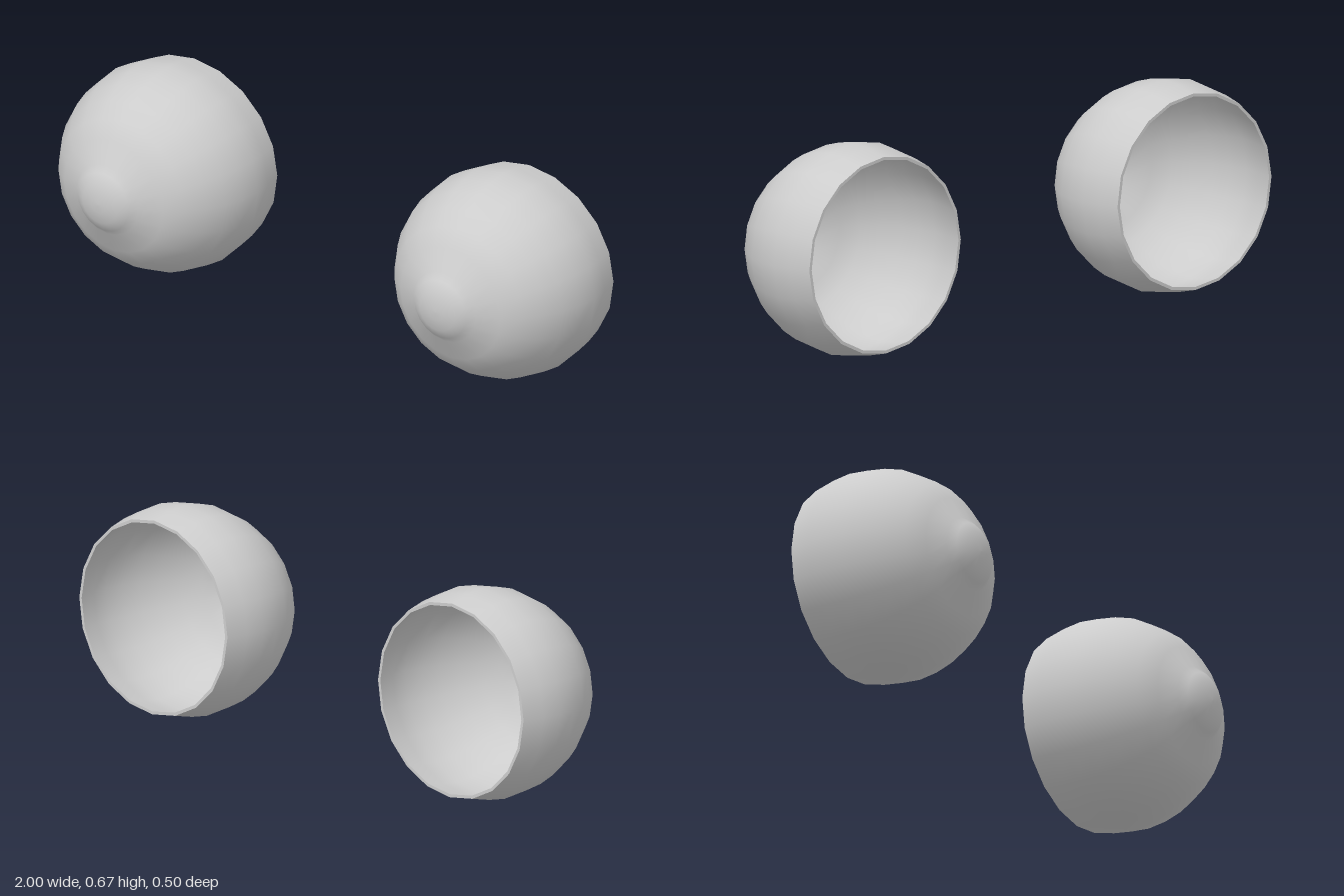
import * as THREE from 'three';

const SEGMENTS = 20;
const WALL = 0.01;

// Outer profile [radius, depth], from the open rim to the tip of the nub
const PROFILE = [
  [0.3125, -0.245], [0.329, -0.175], [0.3375, -0.111], [0.329, -0.045],
  [0.3115, 0.018], [0.2805, 0.075], [0.24, 0.131], [0.188, 0.172],
  [0.118, 0.203], [0.097, 0.225], [0.066, 0.243], [0.027, 0.251], [0, 0.252],
].map(([r, d]) => new THREE.Vector2(r, d));

// Shift the profile inwards by the wall thickness
function insetProfile(points, t) {
  const last = points.length - 1;
  return points.map((p, i) => {
    if (i === last) return new THREE.Vector2(0, p.y - t);
    const dir = points[i + 1].clone().sub(points[Math.max(i - 1, 0)]).normalize();
    const y = i === 0 ? p.y : p.y + dir.x * t;
    return new THREE.Vector2(Math.max(p.x - dir.y * t, 0), y);
  });
}

// Lathe turned to face +z, slightly wider than tall
function turned(points) {
  return new THREE.LatheGeometry(points, SEGMENTS).rotateX(Math.PI / 2).scale(1.029, 1, 1);
}

export function createModel() {
  const model = new THREE.Group();
  const grey = new THREE.MeshStandardMaterial({ color: 0xcccccc });
  grey.name = 'light grey';

  const inner = insetProfile(PROFILE, WALL);
  const parts = {
    outerShell: turned(PROFILE),
    innerShell: turned([...inner].reverse()),
    rim: turned([inner[0], PROFILE[0]]),
  };

  // Two mirrored hollow cups, tipped slightly down and outwards
  for (const [side, name] of [[1, 'leftCup'], [-1, 'rightCup']]) {
    const cup = new THREE.Group();
    cup.name = name;
    for (const [part, geometry] of Object.entries(parts)) {
      const mesh = new THREE.Mesh(geometry, grey);
      mesh.name = part;
      cup.add(mesh);
    }
    cup.position.set(side * 0.6535, 0.3377, 0);
    cup.rotation.set(0.016, side * 0.009, 0);
    model.add(cup);
  }
  return model;
}
